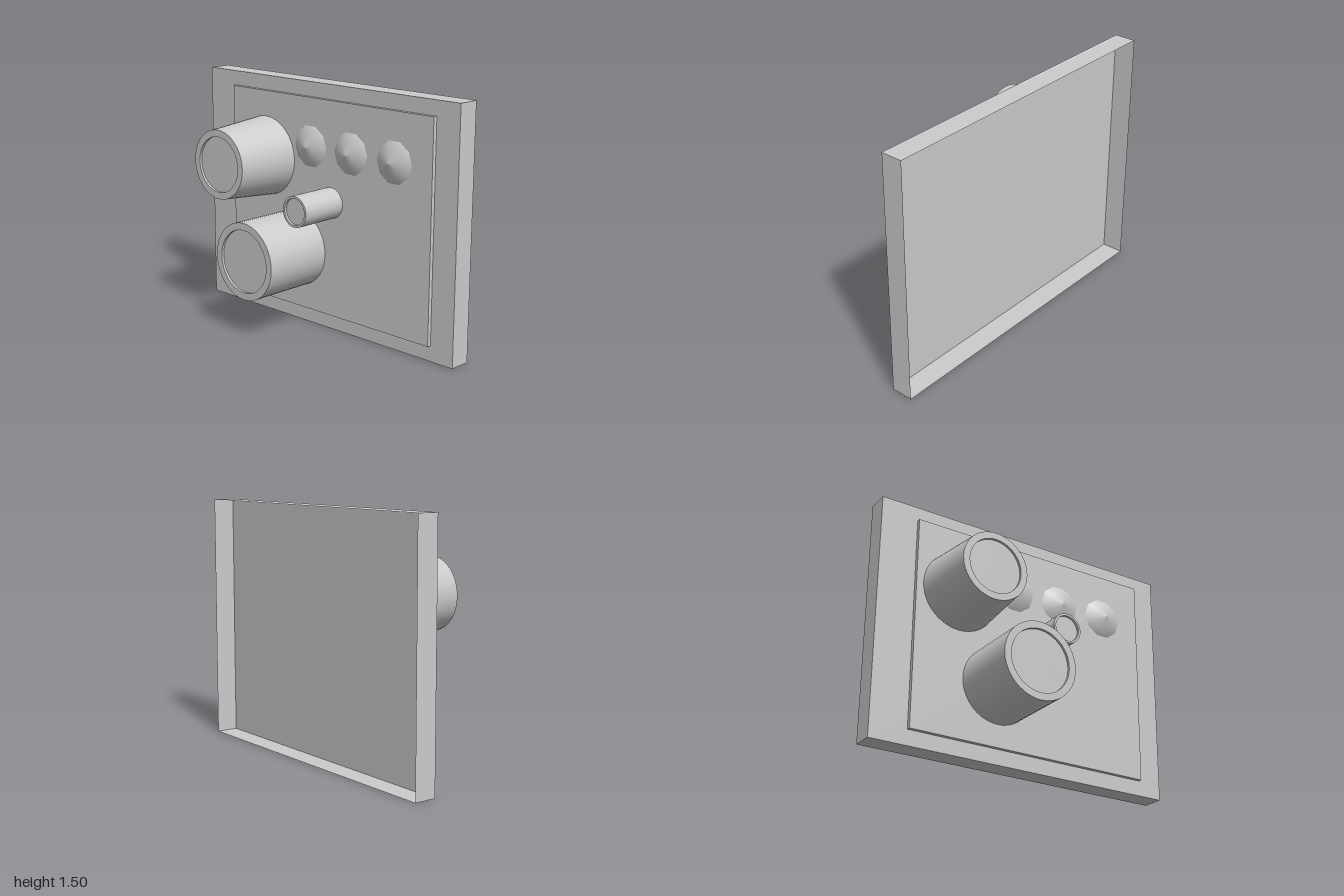
import * as THREE from 'three';
import { toCreasedNormals } from 'three/addons/utils/BufferGeometryUtils.js';

const material = new THREE.MeshStandardMaterial({ color: 0xcccccc, side: THREE.DoubleSide });
const PLATE_Z = -0.145;

// Box given by its limits, left open at the back
function openBox(name, x0, x1, y0, y1, z0, z1) {
  const geo = new THREE.BoxGeometry(x1 - x0, y1 - y0, z1 - z0);
  geo.setIndex(Array.from(geo.index.array).slice(0, 30)); // drop the -z face
  geo.clearGroups();
  const mesh = new THREE.Mesh(geo, material);
  mesh.name = name;
  mesh.position.set((x0 + x1) / 2, (y0 + y1) / 2, (z0 + z1) / 2);
  return mesh;
}

// Turned part standing out of the plate towards the front
function turned(name, x, y, profile, sides, crease) {
  const points = profile.map(([r, h]) => new THREE.Vector2(r, h));
  let geo = new THREE.LatheGeometry(points, sides);
  if (crease) geo = toCreasedNormals(geo, crease);
  geo.rotateX(Math.PI / 2);
  const mesh = new THREE.Mesh(geo, material);
  mesh.name = name;
  mesh.position.set(x, y, PLATE_Z);
  return mesh;
}

// Knob with a shallow recess in its front face
function knob(name, x, y, baseR, tipR, recessR, length) {
  const profile = [[baseR, 0], [tipR, length], [recessR, length], [recessR, length - 0.015], [0, length - 0.015]];
  return turned(name, x, y, profile, 40, 0.6);
}

export function createModel() {
  const model = new THREE.Group();
  model.name = 'controlPanel';

  // Hollow back tray and raised face plate
  model.add(openBox('tray', -1, 1, 0, 1.505, -0.305, -0.17));
  model.add(openBox('facePlate', -0.765, 0.84, 0.095, 1.415, -0.17, PLATE_Z));

  // Three knobs of different sizes
  model.add(knob('taperedKnob', -0.473, 1.01, 0.247, 0.212, 0.17, 0.397));
  model.add(knob('largeKnob', -0.203, 0.472, 0.237, 0.237, 0.193, 0.45));
  model.add(knob('smallKnob', 0.08, 0.802, 0.094, 0.094, 0.08, 0.307));

  // Row of low domed buttons
  const dome = [[0.129, 0], [0.102, 0.018], [0.055, 0.036], [0, 0.051]];
  [-0.09, 0.235, 0.565].forEach((x, i) => {
    const button = turned('button' + (i + 1), x, 1.12, dome, 10);
    button.rotation.z = Math.PI / 10;
    model.add(button);
  });

  return model;
}
